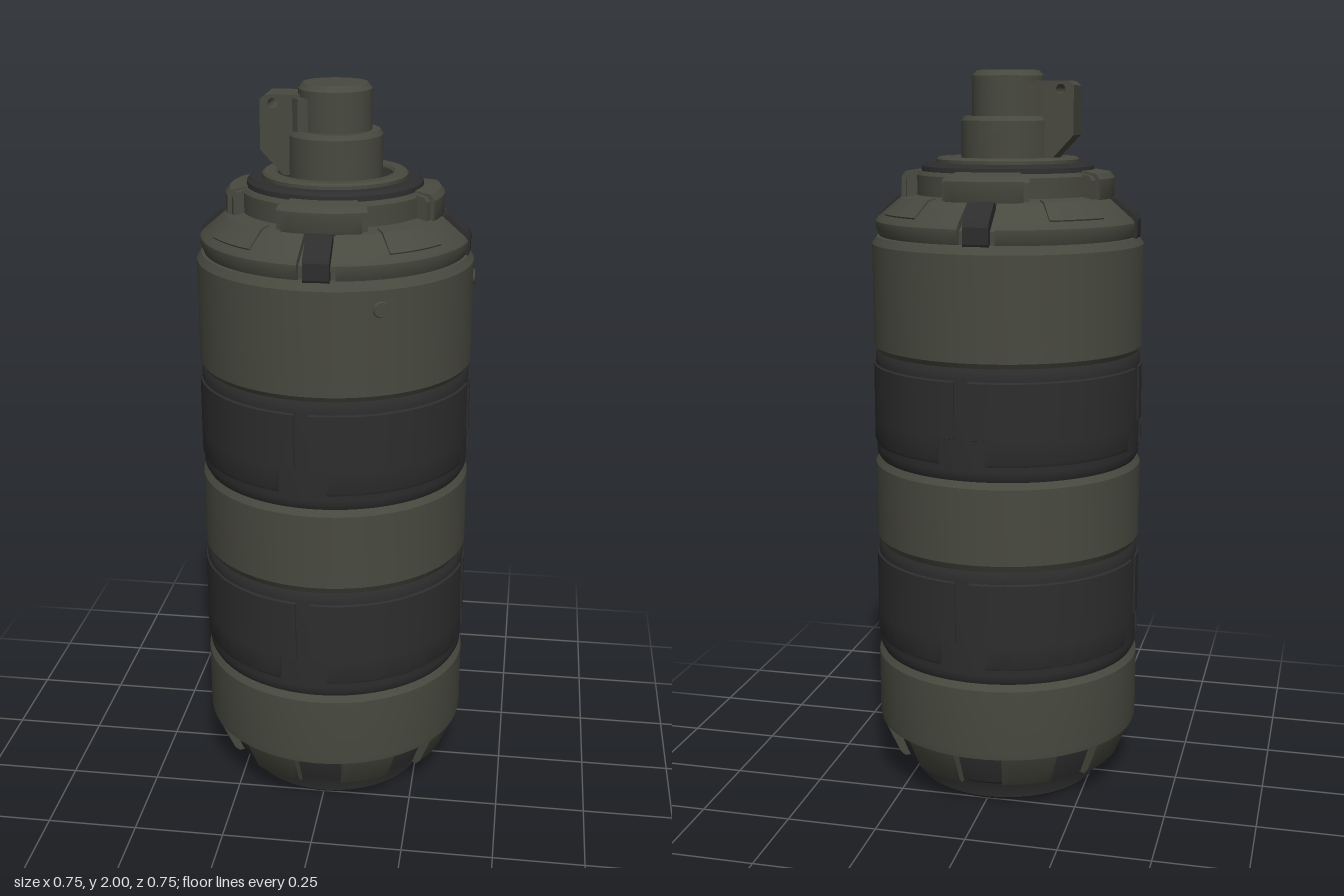
import * as THREE from 'three';
import { toCreasedNormals } from 'three/addons/utils/BufferGeometryUtils.js';

const green = new THREE.MeshStandardMaterial({ color: 0x48493f });
green.name = 'olive green';
const black = new THREE.MeshStandardMaterial({ color: 0x2d2d2e });
black.name = 'soft black';

const DEG = Math.PI / 180;
const crease = (g) => toCreasedNormals(g, 28 * DEG);
const toShape = (pts) => new THREE.Shape(pts.map(([x, y]) => new THREE.Vector2(x, y)));

export function createModel() {
  const model = new THREE.Group();
  model.name = 'canister';

  const add = (name, geometry, material) => {
    const mesh = new THREE.Mesh(geometry, material);
    mesh.name = name;
    model.add(mesh);
    return mesh;
  };

  // Turned part from [radius, height] points, bottom to top
  const turned = (name, pts, material) =>
    add(name, crease(new THREE.LatheGeometry(pts.map(([r, y]) => new THREE.Vector2(r, y)), 96)), material);

  // Solid [radius, height] section swept around the axis; angles in degrees from the front
  const arcBlock = (name, pts, centre, halfAngle, material) => {
    const g = new THREE.ExtrudeGeometry(toShape(pts), {
      depth: 1, steps: Math.max(3, Math.ceil(halfAngle / 2)), bevelEnabled: false,
    });
    const p = g.attributes.position;
    for (let i = 0; i < p.count; i++) {
      const r = p.getX(i);
      const a = (centre + halfAngle * (1 - 2 * p.getZ(i))) * DEG;
      p.setXYZ(i, r * Math.sin(a), p.getY(i), r * Math.cos(a));
    }
    return add(name, crease(g), material);
  };

  // Straight block with a [radius, height] section, turned about the axis
  const straightBlock = (name, pts, width, angle, material) => {
    const g = new THREE.ExtrudeGeometry(toShape(pts), { depth: width, bevelEnabled: false });
    g.translate(0, 0, -width / 2);
    g.rotateY(angle * DEG);
    return add(name, g, material);
  };

  // Base and the dark core seen through the lower notches
  turned('base', [
    [0, 0], [0.25, 0], [0.258, 0.008], [0.262, 0.035], [0.27, 0.055],
    [0.305, 0.075], [0.338, 0.16], [0.34, 0.2], [0, 0.2],
  ], black);

  // Lower green band with eight teeth
  turned('lowerBand', [
    [0.33, 0.172], [0.371, 0.172], [0.373, 0.19], [0.373, 0.37], [0.362, 0.387], [0.34, 0.387],
  ], green);
  for (let i = 0; i < 8; i++) {
    arcBlock('lowerTooth', [
      [0.29, 0.07], [0.318, 0.07], [0.332, 0.085], [0.371, 0.173], [0.32, 0.173],
    ], i * 45 + 22.5, 12, green);
  }

  // Dark grip bands with raised panels
  for (const [y0, y1] of [[0.385, 0.707], [0.945, 1.25]]) {
    turned('gripBand', [
      [0.34, y0], [0.36, y0], [0.368, y0 + 0.015], [0.369, y0 + 0.03],
      [0.369, y1 - 0.03], [0.368, y1 - 0.015], [0.36, y1], [0.34, y1],
    ], black);
    for (let i = 0; i < 4; i++) {
      const a = i * 90 + 39;
      arcBlock('gripPanelUpper', [
        [0.36, y0 + 0.11], [0.374, y0 + 0.115], [0.374, y1 - 0.04], [0.36, y1 - 0.03],
      ], a, 42, black);
      arcBlock('gripPanelLower', [
        [0.36, y0 + 0.04], [0.37, y0 + 0.045], [0.374, y0 + 0.055], [0.374, y0 + 0.115], [0.36, y0 + 0.115],
      ], a, 35, black);
    }
  }

  // Middle and upper green bands
  turned('middleBand', [
    [0.34, 0.703], [0.362, 0.703], [0.373, 0.722], [0.373, 0.93], [0.362, 0.947], [0.34, 0.947],
  ], green);
  turned('upperBand', [
    [0.34, 1.248], [0.364, 1.248], [0.373, 1.262], [0.373, 1.54], [0.36, 1.56], [0.33, 1.565],
  ], green);

  // Small round studs on the upper band
  for (const a of [25.5, 93]) {
    const g = new THREE.CylinderGeometry(0.019, 0.023, 0.008, 20);
    g.rotateX(Math.PI / 2);
    g.translate(0, 1.49, 0.373);
    g.rotateY(a * DEG);
    add('stud', g, green);
  }

  // Sloped shoulder, split by four clip slots
  turned('shoulderCore', [
    [0.345, 1.55], [0.345, 1.597], [0.275, 1.655], [0.25, 1.665],
    [0.25, 1.725], [0.243, 1.735], [0.2, 1.735],
  ], green);
  for (let i = 0; i < 4; i++) {
    const a = i * 90;
    arcBlock('shoulderSection', [
      [0.33, 1.562], [0.353, 1.562], [0.362, 1.585], [0.362, 1.602], [0.355, 1.612],
      [0.293, 1.664], [0.25, 1.672], [0.25, 1.6],
    ], a + 45, 37.2, green);
    arcBlock('shoulderPad', [
      [0.34, 1.61], [0.347, 1.624], [0.3, 1.667], [0.27, 1.672], [0.27, 1.62],
    ], a + 45, 14, green);
    straightBlock('shoulderClip', [
      [0.33, 1.557], [0.359, 1.557], [0.363, 1.565], [0.363, 1.608], [0.355, 1.62],
      [0.3, 1.666], [0.28, 1.666], [0.28, 1.6],
    ], 0.068, a, black);
    // Raised clamp above each clip
    arcBlock('collarClamp', [
      [0.23, 1.66], [0.287, 1.66], [0.291, 1.668], [0.291, 1.718], [0.28, 1.732], [0.23, 1.74],
    ], a, 21, green);
    for (const s of [-1, 1]) {
      arcBlock('clampEnd', [
        [0.23, 1.66], [0.279, 1.66], [0.279, 1.715], [0.27, 1.727], [0.23, 1.735],
      ], a + s * 22.5, 2.2, green);
    }
  }

  // Concentric top rings
  turned('outerSeal', [
    [0.225, 1.725], [0.236, 1.733], [0.234, 1.748], [0.222, 1.757], [0.18, 1.757],
  ], black);
  turned('topRing', [
    [0.194, 1.74], [0.194, 1.766], [0.188, 1.772], [0.158, 1.772], [0.152, 1.765], [0.152, 1.74],
  ], green);
  turned('innerSeal', [[0.158, 1.74], [0.158, 1.757], [0.148, 1.762], [0.1, 1.762]], black);

  // Stepped neck and cap
  turned('neck', [
    [0.126, 1.74], [0.126, 1.868], [0.118, 1.88], [0.097, 1.88],
    [0.097, 1.985], [0.085, 2], [0, 2],
  ], green);

  // Side bracket with a cross hole
  const bracket = toShape([
    [-0.13, 1.765], [-0.085, 1.765], [-0.085, 1.972], [-0.176, 1.972], [-0.191, 1.96], [-0.191, 1.83],
  ]);
  const hole = new THREE.Path();
  hole.absarc(-0.156, 1.95, 0.013, 0, Math.PI * 2, true);
  bracket.holes.push(hole);
  const bracketGeometry = new THREE.ExtrudeGeometry(bracket, { depth: 0.11, bevelEnabled: false, curveSegments: 16 });
  bracketGeometry.translate(0, 0, -0.055);
  add('bracket', bracketGeometry, green);

  // Flared foot joining the bracket to the cap
  const foot = new THREE.ExtrudeGeometry(
    toShape([[-0.105, -0.055], [-0.088, -0.075], [-0.06, -0.075], [-0.06, 0.075], [-0.088, 0.075], [-0.105, 0.055]]),
    { depth: 0.1, bevelEnabled: false },
  );
  foot.rotateX(-Math.PI / 2);
  foot.translate(0, 1.865, 0);
  add('bracketFoot', foot, green);

  return model;
}
